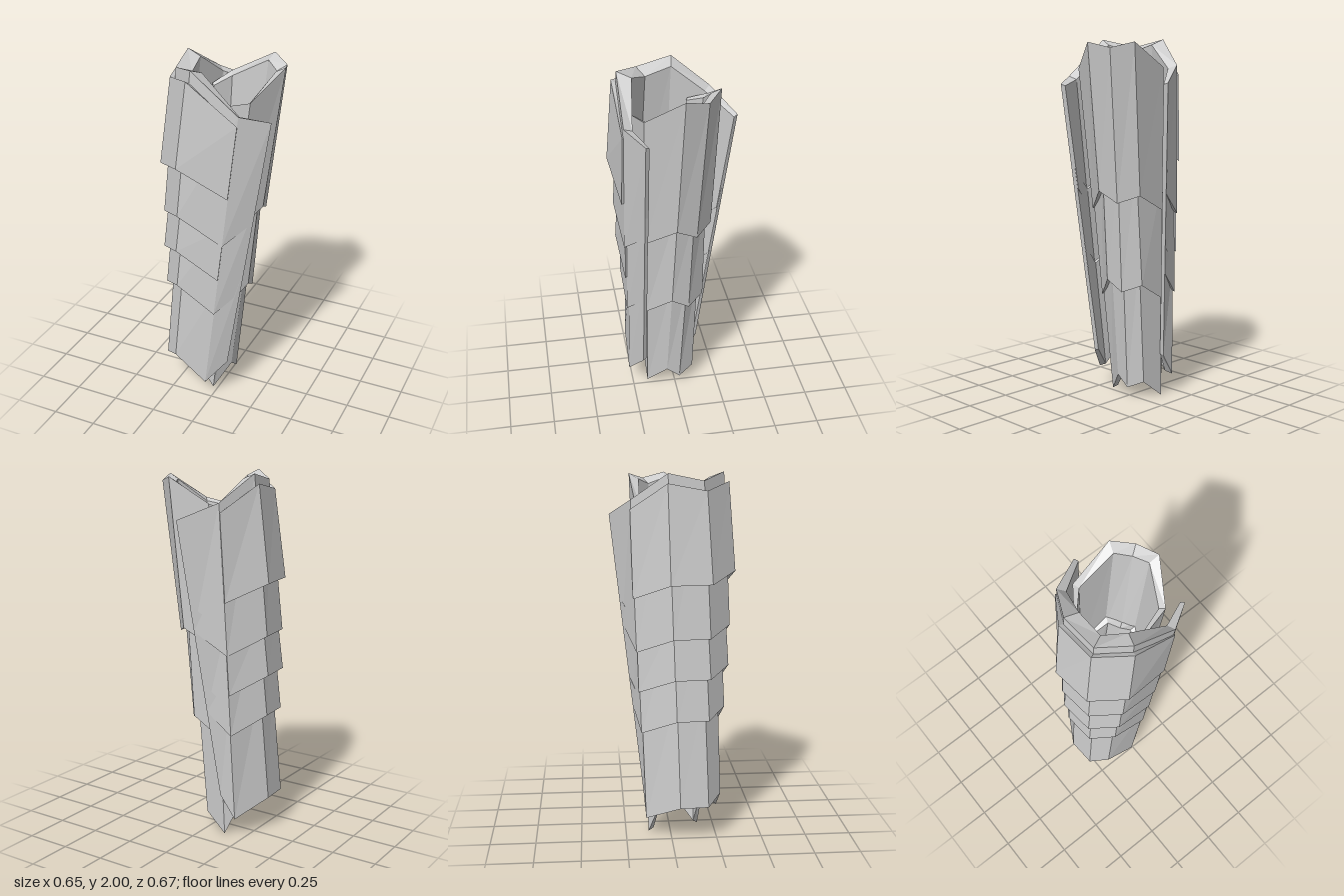
import * as THREE from 'three';

const material = new THREE.MeshStandardMaterial({ color: 0xcccccc, flatShading: true });

// Each wall is a strip of seven columns [x, y, z], given at its top and bottom edge.
const cuffWall = {
  top: [[0.32, 1.76, 0.20], [0.18, 1.80, 0.29], [-0.08, 2.00, 0.29], [-0.22, 1.96, 0.17],
    [-0.245, 2.00, -0.02], [-0.15, 1.86, -0.21], [0.04, 1.77, -0.32]],
  bottom: [[0.08, 0.24, 0.20], [-0.03, 0.11, 0.26], [-0.20, 0.25, 0.235], [-0.27, 0.20, 0.18],
    [-0.275, 0.20, 0.05], [-0.20, 0.11, -0.13], [-0.12, 0.24, -0.15]],
};
const sideWall = {
  top: [[-0.14, 1.80, -0.09], [-0.07, 1.85, -0.185], [0.17, 1.98, -0.205], [0.27, 1.95, -0.125],
    [0.31, 1.98, 0.0], [0.20, 1.84, 0.19], [0.02, 1.80, 0.23]],
  bottom: [[-0.18, 0.13, -0.08], [-0.13, 0.0, -0.12], [-0.01, 0.10, -0.10], [0.03, 0.06, -0.02],
    [0.03, 0.12, 0.05], [-0.03, 0.0, 0.16], [-0.10, 0.12, 0.17]],
};
const flareWeight = [0, 0.3, 1, 1, 1, 0.3, 0];
const thickWeight = [0.3, 0.6, 1, 1, 1, 0.6, 0.3];

// Edge of a plate: the wall's top or bottom outline, shifted vertically along the slanting columns.
function edge(wall, outline, shift) {
  return wall[outline].map((p, i) => {
    const a = wall.bottom[i], b = wall.top[i];
    const y = p[1] + shift;
    const t = (y - a[1]) / (b[1] - a[1]);
    return new THREE.Vector3(a[0] + (b[0] - a[0]) * t, y, a[2] + (b[2] - a[2]) * t);
  });
}

// Horizontal outward directions along an edge.
function outward(points) {
  return points.map((p, i) => {
    const sum = new THREE.Vector3();
    for (const j of [i - 1, i]) {
      if (j < 0 || j + 1 >= points.length) continue;
      const d = points[j + 1].clone().sub(points[j]).setY(0).normalize();
      sum.add(new THREE.Vector3(d.z, 0, -d.x));
    }
    return sum.normalize();
  });
}

// Thick folded plate between two edges, flaring outwards towards its lower rim.
function plate(name, wall, { top, bottom, topOffset, flare, thickness, from = 0, to = 6 }) {
  const upper = edge(wall, top[0], top[1]), lower = edge(wall, 'bottom', bottom);
  const upperOut = outward(upper), lowerOut = outward(lower);
  const sections = [];
  for (let i = from; i <= to; i++) {
    const a = topOffset * flareWeight[i], b = flare * flareWeight[i], w = thickness * thickWeight[i];
    const at = (p, n, offset, dy) => p.clone().addScaledVector(n, offset).add(new THREE.Vector3(0, dy, 0));
    sections.push([
      at(upper[i], upperOut[i], a, 0),
      at(lower[i], lowerOut[i], b, 0),
      at(lower[i], lowerOut[i], b - w, 0.03 * thickWeight[i]),
      at(upper[i], upperOut[i], a - w, -0.03 * thickWeight[i]),
    ]);
  }
  const positions = [];
  const quad = (a, b, c, d) => {
    for (const v of [a, b, c, a, c, d]) positions.push(v.x, v.y, v.z);
  };
  for (let i = 0; i + 1 < sections.length; i++) {
    for (let k = 0; k < 4; k++) {
      const n = (k + 1) % 4;
      quad(sections[i][k], sections[i + 1][k], sections[i + 1][n], sections[i][n]);
    }
  }
  quad(...sections[0]);
  quad(...sections[sections.length - 1].slice().reverse());

  const geometry = new THREE.BufferGeometry();
  geometry.setAttribute('position', new THREE.Float32BufferAttribute(positions, 3));
  geometry.computeVertexNormals();
  const mesh = new THREE.Mesh(geometry, material);
  mesh.name = name;
  return mesh;
}

export function createModel() {
  const model = new THREE.Group();
  model.name = 'layeredSheath';

  // Wrap-around plates, with narrower plates lying over the upper two
  const cuff = new THREE.Group();
  cuff.name = 'wrapAroundPlates';
  const narrow = { from: 1, to: 5, thickness: 0.05 };
  cuff.add(
    plate('upperWrap', cuffWall, { top: ['top', 0], bottom: 0.94, topOffset: 0, flare: 0.06, thickness: 0.08 }),
    plate('middleWrap', cuffWall, { top: ['bottom', 1.08], bottom: 0.49, topOffset: 0.0, flare: 0.045, thickness: 0.07 }),
    plate('lowerWrap', cuffWall, { top: ['bottom', 0.65], bottom: 0, topOffset: 0.0, flare: 0.04, thickness: 0.07 }),
    plate('upperOverlay', cuffWall, { top: ['top', -0.05], bottom: 1.23, topOffset: 0.03, flare: 0.08, ...narrow }),
    plate('middleOverlay', cuffWall, { top: ['bottom', 1.05], bottom: 0.72, topOffset: 0.03, flare: 0.06, ...narrow }),
  );

  // Side plates, three stacked tiers
  const side = new THREE.Group();
  side.name = 'sidePlates';
  side.add(
    plate('upperSide', sideWall, { top: ['top', 0], bottom: 1.07, topOffset: 0, flare: 0.02, thickness: 0.055 }),
    plate('middleSide', sideWall, { top: ['bottom', 1.22], bottom: 0.57, topOffset: -0.02, flare: 0.02, thickness: 0.05 }),
    plate('lowerSide', sideWall, { top: ['bottom', 0.72], bottom: 0, topOffset: -0.02, flare: 0.01, thickness: 0.05 }),
  );

  model.add(cuff, side);
  return model;
}
